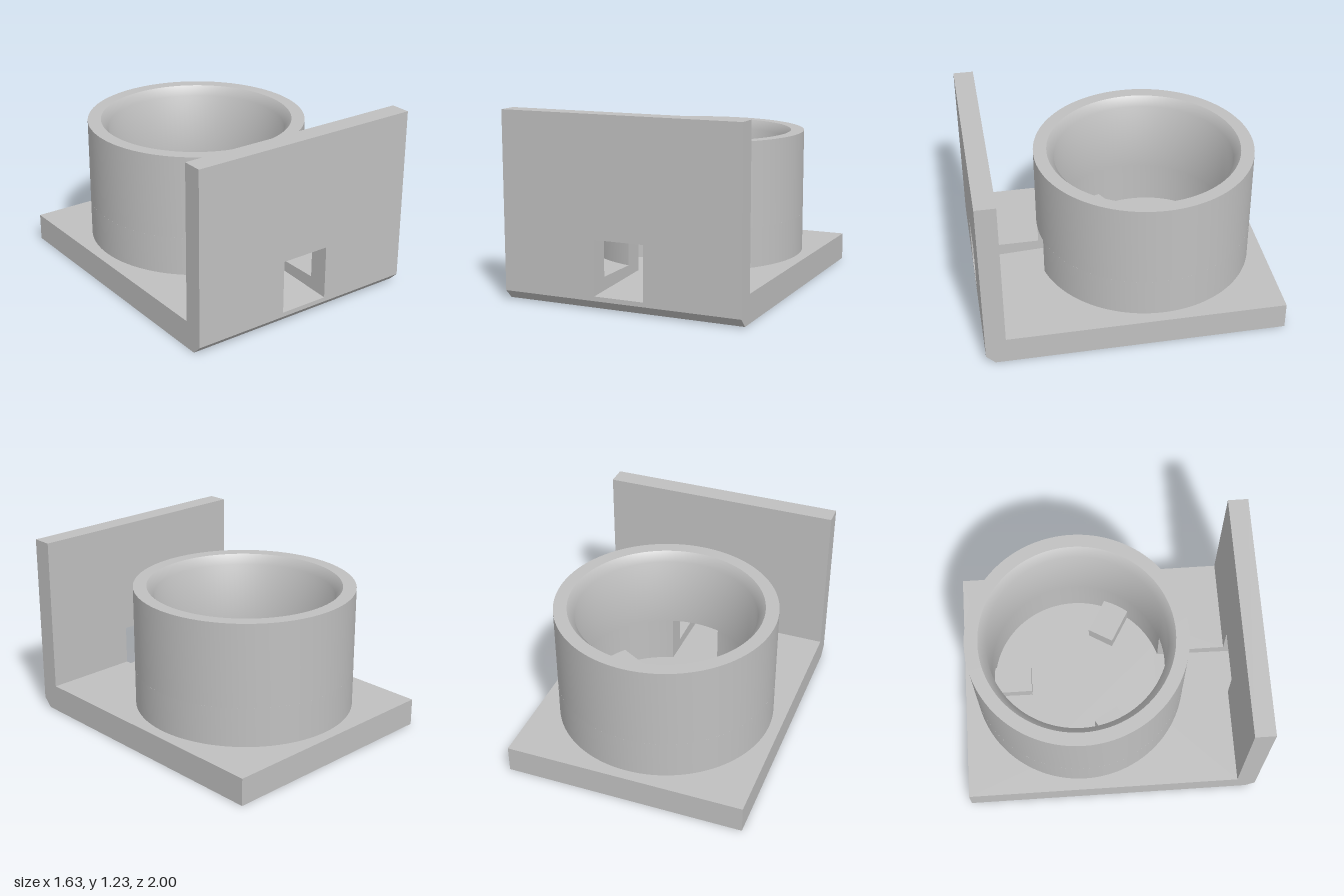
import * as THREE from 'three';
import { toCreasedNormals } from 'three/addons/utils/BufferGeometryUtils.js';

const W = 0.815, WALL_BACK = 0.865, BASE_TOP = 0.185;
const CZ = -0.187, R_OUT = 0.737, R_IN = 0.6, R_LIP = 0.648;
const RING_TOP = 1.015, SLOT_TOP = 0.45, SLOT = 0.17, SLOT_LOW = 0.09;
const FRONT = -Math.PI / 2, TURN = Math.PI * 2;

// height of the gently sloping floor that drains towards the front
const ramp = z => SLOT_LOW + 0.049 * (1 - z);

// extrude a plan (x, -z) upwards from y0 to y1
function extrudePlan(shape, y0, y1) {
  const g = new THREE.ExtrudeGeometry(shape, { depth: y1 - y0, bevelEnabled: false, curveSegments: 96 });
  g.rotateX(-Math.PI / 2);
  g.translate(0, y0, 0);
  return g;
}

function moveVertices(g, rule) {
  const p = g.attributes.position, v = new THREE.Vector3();
  for (let i = 0; i < p.count; i++) {
    rule(v.fromBufferAttribute(p, i));
    p.setXYZ(i, v.x, v.y, v.z);
  }
  g.computeVertexNormals();
  return g;
}

export function createModel() {
  const model = new THREE.Group();
  model.name = 'cupHolderStand';
  const grey = new THREE.MeshStandardMaterial({ color: 0xc0c0c0 });
  grey.name = 'lightGrey';
  const add = (name, geometry) => {
    const mesh = new THREE.Mesh(geometry, grey);
    mesh.name = name;
    model.add(mesh);
    return mesh;
  };
  const gapIn = Math.asin(SLOT / R_IN), gapOut = Math.asin(SLOT / R_OUT);

  // base plate with a keyhole-shaped recess
  const plate = new THREE.Shape();
  plate.moveTo(-W, 1);
  plate.lineTo(-W, -WALL_BACK);
  plate.lineTo(-SLOT, -WALL_BACK);
  plate.absarc(0, -CZ, R_IN, FRONT + TURN - gapIn, FRONT + gapIn, true);
  plate.lineTo(SLOT, -WALL_BACK);
  plate.lineTo(W, -WALL_BACK);
  plate.lineTo(W, 1);
  add('basePlate', toCreasedNormals(extrudePlan(plate, 0, BASE_TOP), 0.6));

  // sloping floor of the recess and its channel
  const keyhole = new THREE.Shape();
  keyhole.absarc(0, -CZ, R_IN, FRONT + gapIn, FRONT + TURN - gapIn, false);
  keyhole.lineTo(-SLOT, -WALL_BACK);
  keyhole.lineTo(SLOT, -WALL_BACK);
  add('slopingFloor', moveVertices(extrudePlan(keyhole, 0, 1), v => {
    v.y = v.y > 0.5 ? ramp(v.z) : 0;
  }));

  // front wall with a window
  const CHAMFER = 0.06;
  const wall = new THREE.Shape();
  wall.moveTo(-W, CHAMFER);
  wall.lineTo(W, CHAMFER);
  wall.lineTo(W, 1.23);
  wall.lineTo(-W, 1.23);
  const win = new THREE.Path();
  win.moveTo(-SLOT, SLOT_LOW);
  win.lineTo(-SLOT, SLOT_TOP);
  win.lineTo(SLOT, SLOT_TOP);
  win.lineTo(SLOT, SLOT_LOW);
  wall.holes.push(win);
  const wallGeo = new THREE.ExtrudeGeometry(wall, { depth: 1 - WALL_BACK, bevelEnabled: false });
  wallGeo.translate(0, 0, WALL_BACK);
  add('frontWall', moveVertices(wallGeo, v => {
    if (Math.abs(v.y - SLOT_LOW) < 0.001) v.y = ramp(v.z);
  }));

  // chamfered foot of the front wall, profile drawn in (-z, y)
  const foot = new THREE.Shape();
  foot.moveTo(-WALL_BACK, 0);
  foot.lineTo(-WALL_BACK, CHAMFER);
  foot.lineTo(-1, CHAMFER);
  foot.lineTo(-0.94, 0);
  const footGeo = new THREE.ExtrudeGeometry(foot, { depth: 2 * W, bevelEnabled: false });
  footGeo.rotateY(Math.PI / 2);
  footGeo.translate(-W, 0, 0);
  add('chamferedFoot', footGeo);

  // lower part of the ring, open at the front
  const cShape = new THREE.Shape();
  cShape.absarc(0, -CZ, R_OUT, FRONT + gapOut, FRONT + TURN - gapOut, false);
  cShape.absarc(0, -CZ, R_IN, FRONT + TURN - gapIn, FRONT + gapIn, true);
  add('lowerRing', toCreasedNormals(extrudePlan(cShape, BASE_TOP, SLOT_TOP), 0.6));

  // upper part of the ring with a bevelled inner lip
  const profile = [
    [R_IN, SLOT_TOP], [R_OUT, SLOT_TOP], [R_OUT, RING_TOP],
    [R_LIP, RING_TOP], [R_IN, RING_TOP - 0.06], [R_IN, SLOT_TOP],
  ].map(([r, y]) => new THREE.Vector2(r, y));
  const upper = toCreasedNormals(new THREE.LatheGeometry(profile, 96), 0.8);
  add('upperRing', upper).position.z = CZ;

  // three support blocks around the floor
  for (let i = 0; i < 3; i++) {
    const g = new THREE.BoxGeometry(0.187, 0.17, 0.27);
    g.translate(0, 0.165, -0.475);
    g.rotateY(i * TURN / 3);
    add('supportBlock', g).position.z = CZ;
  }
  return model;
}
